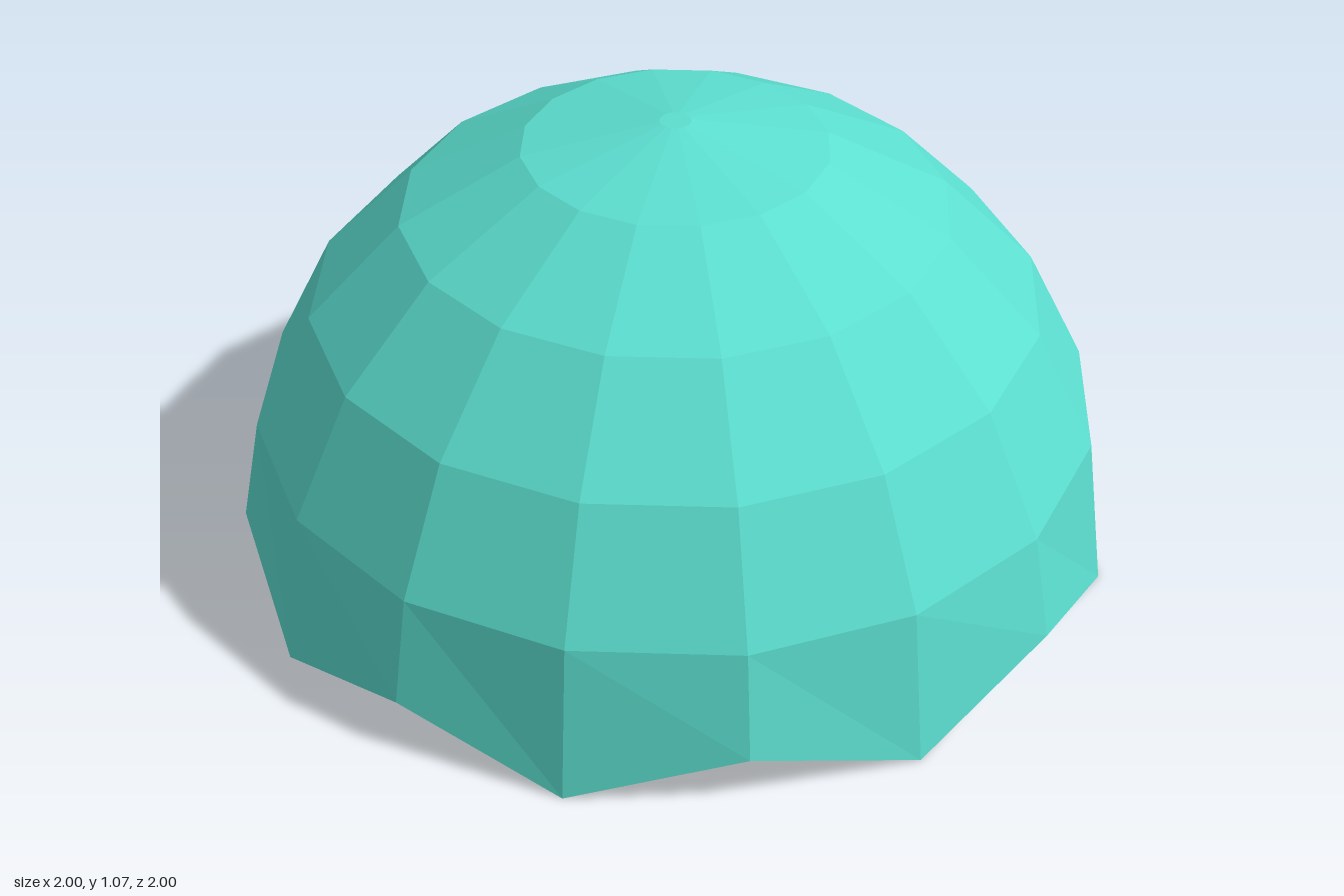
import * as THREE from 'three';

export function createModel() {
  const group = new THREE.Group();
  group.name = 'scallopedDome';

  const turquoise = new THREE.MeshStandardMaterial({
    color: 0x5cdfd0,
    flatShading: true,
    side: THREE.DoubleSide,
  });
  turquoise.name = 'turquoise';

  // Dome profile from the rim up to the small flat crown
  const rimHeight = 0.12;
  const profile = [
    [1, rimHeight], [0.955, 0.365], [0.82, 0.64], [0.61, 0.86],
    [0.34, 1.01], [0.035, 1.07], [0, 1.07],
  ].map(([r, y]) => new THREE.Vector2(r, y));
  const sides = 16;
  const geometry = new THREE.LatheGeometry(profile, sides);

  // Zigzag rim: every second rim corner drops to the ground
  const position = geometry.attributes.position;
  for (let i = 1; i < sides; i += 2) position.setY(i * profile.length, 0);
  geometry.computeVertexNormals();

  const dome = new THREE.Mesh(geometry, turquoise);
  dome.name = 'domeShell';
  group.add(dome);
  return group;
}
